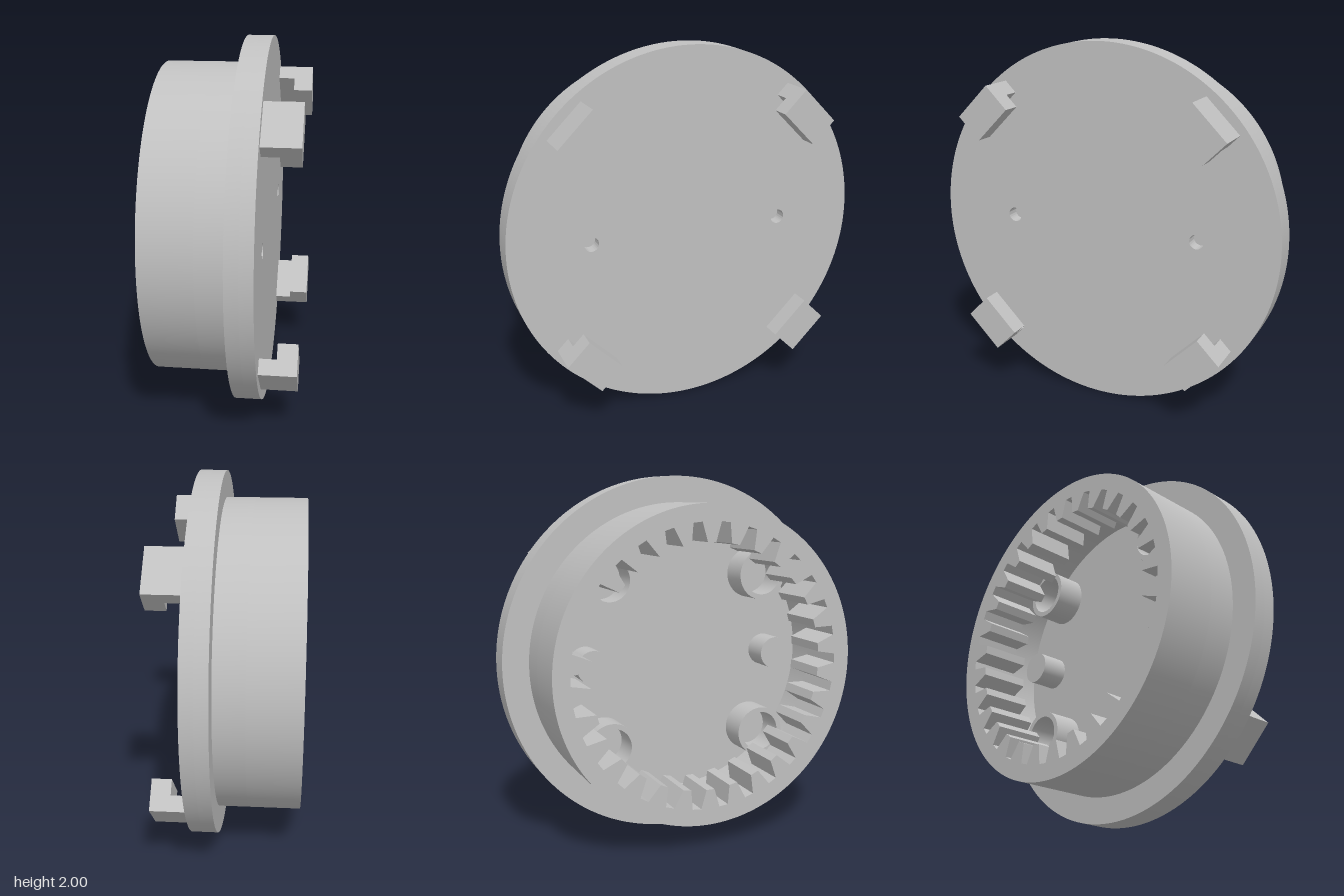
import * as THREE from 'three';
import { toCreasedNormals } from 'three/addons/utils/BufferGeometryUtils.js';

const ROOT = 0.765, TIP = 0.66, TEETH = 30;

const circle = (r, x = 0, y = 0, Kind = THREE.Shape) => new Kind().absarc(x, y, r, 0, Math.PI * 2);

// Outline of the internal gear: trapezoid teeth pointing at the axis
function gearHole() {
  const pts = [], pitch = (Math.PI * 2) / TEETH;
  const add = (r, a) => pts.push(new THREE.Vector2(r * Math.cos(a), r * Math.sin(a)));
  for (let i = 0; i < TEETH; i++) {
    const a = (i + 0.5) * pitch;
    add(ROOT, a - pitch * 0.34);
    add(TIP, a - pitch * 0.17);
    add(TIP, a + pitch * 0.17);
    add(ROOT, a + pitch * 0.34);
  }
  return new THREE.Path(pts);
}

export function createModel() {
  const grey = new THREE.MeshStandardMaterial({ color: 0xc0c0c0 });
  grey.name = 'light grey';
  const model = new THREE.Group();
  model.name = 'ringGearHousing';

  // The axis of the part is built along local z, then turned onto x
  const body = new THREE.Group();
  body.name = 'body';
  body.rotation.y = Math.PI / 2;
  body.position.y = 1;
  model.add(body);

  function slab(name, shape, holes, z0, z1, segments = 48) {
    shape.holes.push(...holes);
    const geo = new THREE.ExtrudeGeometry(shape, { depth: z1 - z0, bevelEnabled: false, curveSegments: segments });
    geo.translate(0, 0, z0);
    const mesh = new THREE.Mesh(toCreasedNormals(geo, 0.4), grey);
    mesh.name = name;
    body.add(mesh);
    return mesh;
  }

  // Flange: solid floor plus a face plate with two blind holes
  slab('flangeFloor', circle(1), [], 0.05, 0.12, 96);
  slab('flangeFace', circle(1), [-0.55, 0.55].map((x) => circle(0.04, x, 0, THREE.Path)), 0.12, 0.19, 96);

  // Drum: smooth wall next to the floor, toothed ring at the open end
  slab('drumWall', circle(0.857), [circle(ROOT, 0, 0, THREE.Path)], -0.11, 0.05, 96);
  slab('toothedRing', circle(0.857), [gearHole()], -0.387, -0.11, 96);

  // Pins and hollow bosses inside the drum
  for (const sx of [-1, 1]) {
    slab('pin', circle(0.09, sx * 0.55, 0), [], -0.1, 0.05, 24);
    for (const sy of [-1, 1]) {
      const x = sx * 0.455, y = sy * 0.455;
      slab('hollowBoss', circle(0.14, x, y), [circle(0.112, x, y, THREE.Path)], -0.11, 0.05, 24);
    }
  }

  // Four hooked lugs: L profile (radius, axis) extruded along the tangent
  const profile = [[0.863, 0.19], [0.948, 0.19], [0.948, 0.385], [0.778, 0.385], [0.778, 0.28], [0.863, 0.28]];
  const lugGeo = new THREE.ExtrudeGeometry(
    new THREE.Shape(profile.map(([r, z]) => new THREE.Vector2(r, z))), { depth: 0.255, bevelEnabled: false });
  lugGeo.translate(0, 0, -0.1275);
  lugGeo.rotateX(Math.PI / 2);
  for (let i = 0; i < 4; i++) {
    const lug = new THREE.Mesh(lugGeo, grey);
    lug.name = 'hookedLug';
    lug.rotation.z = Math.PI / 4 + (i * Math.PI) / 2;
    body.add(lug);
  }
  return model;
}
